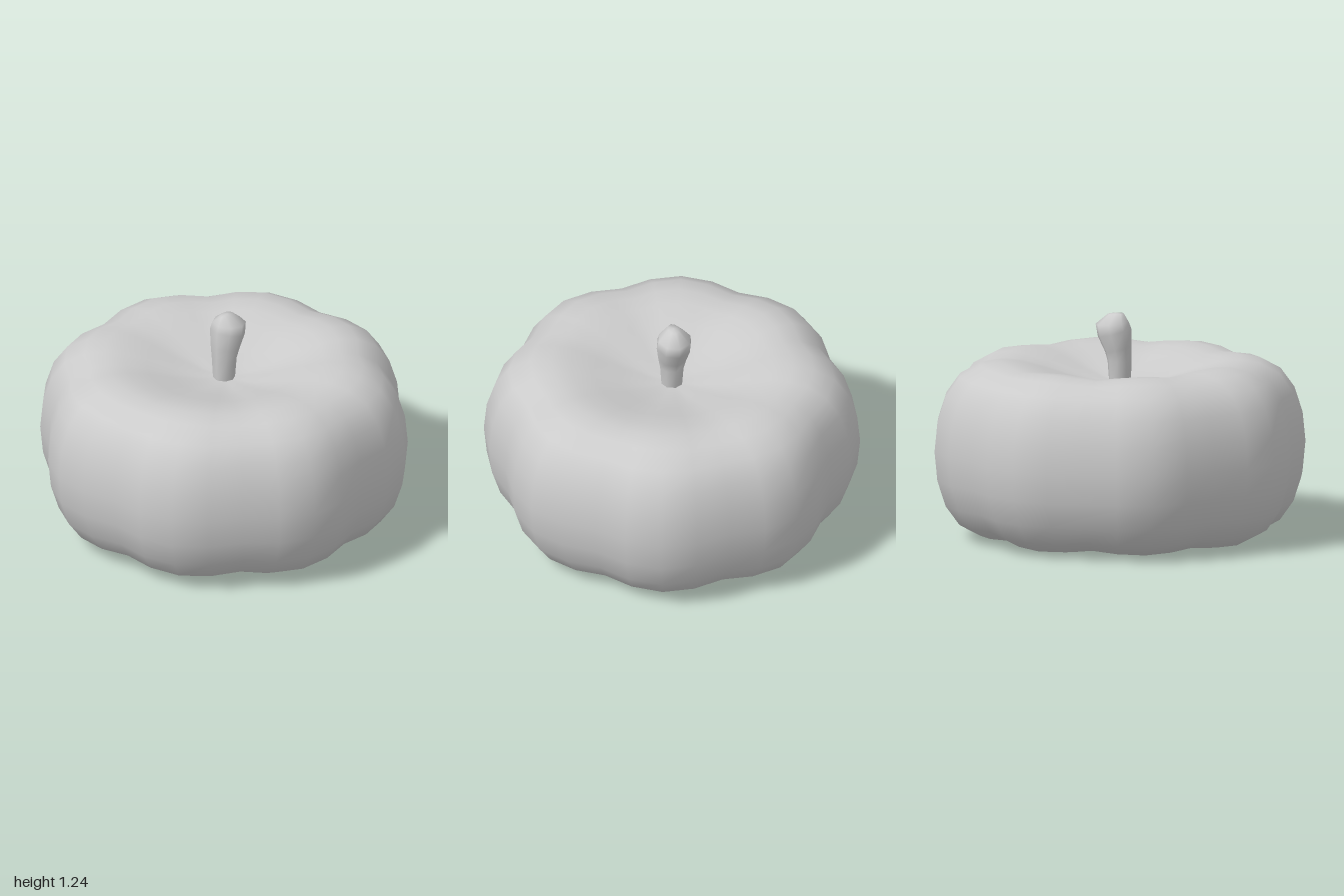
import * as THREE from 'three';

const SEGMENTS = 32, MID = 0.4975;

// Skin a stack of rings (bottom to top); a ring of one point is a pole.
function loft(name, rings) {
  const positions = [], index = [], starts = [];
  for (const ring of rings) {
    starts.push(positions.length / 3);
    for (const p of ring) positions.push(...p);
  }
  for (let i = 0; i < rings.length - 1; i++) {
    const lo = rings[i].length, hi = rings[i + 1].length, n = Math.max(lo, hi);
    for (let j = 0; j < n; j++) {
      const k = (j + 1) % n;
      const a = starts[i] + (j % lo), b = starts[i] + (k % lo);
      const c = starts[i + 1] + (j % hi), d = starts[i + 1] + (k % hi);
      if (lo > 1) index.push(a, b, d);
      if (hi > 1) index.push(a, d, c);
    }
  }
  const geometry = new THREE.BufferGeometry();
  geometry.setAttribute('position', new THREE.Float32BufferAttribute(positions, 3));
  geometry.setIndex(index);
  geometry.computeVertexNormals();
  const mesh = new THREE.Mesh(geometry, new THREE.MeshStandardMaterial({ color: 0xcccccc, side: THREE.DoubleSide }));
  mesh.name = name;
  return mesh;
}

// Ribbed body: [lobe radius, lobe height, groove radius, groove height] above mid height.
function createBody() {
  const upper = [
    [1.04, 0, 0.975, 0],
    [1.024, 0.162, 0.96, 0.16],
    [0.978, 0.305, 0.917, 0.298],
    [0.9, 0.413, 0.848, 0.4],
    [0.785, 0.476, 0.745, 0.457],
    [0.67, 0.494, 0.645, 0.473],
    [0.56, 0.484, 0.545, 0.466],
    [0.43, 0.45, 0.425, 0.438],
    [0.29, 0.405, 0.29, 0.398],
    [0.14, 0.37, 0.14, 0.368],
  ];
  const ring = ([r1, y1, r0, y0], sign) => Array.from({ length: SEGMENTS }, (_, j) => {
    const t = (j / SEGMENTS) * Math.PI * 2;
    const k = Math.pow(Math.abs(Math.sin(4 * t)), 1.2);
    const r = r0 + (r1 - r0) * k;
    return [r * Math.cos(t), MID + sign * (y0 + (y1 - y0) * k), -r * Math.sin(t)];
  });
  const pole = sign => [[0, MID + sign * 0.36, 0]];
  return loft('body', [
    pole(-1),
    ...upper.slice(1).reverse().map(row => ring(row, -1)),
    ...upper.map(row => ring(row, 1)),
    pole(1),
  ]);
}

// Bent eight-sided stem: each tilted ring is [left x, left y, right x, right y, half depth].
function createStem() {
  const spans = [
    [-0.06, 0.84, 0.06, 0.84, 0.06],
    [-0.066, 0.98, 0.07, 0.975, 0.07],
    [-0.066, 1.06, 0.084, 1.025, 0.083],
    [-0.064, 1.16, 0.125, 1.11, 0.1],
    [-0.05, 1.195, 0.138, 1.18, 0.093],
    [-0.022, 1.243, 0.068, 1.239, 0.03],
  ];
  const rings = spans.map(([lx, ly, rx, ry, depth]) => Array.from({ length: 8 }, (_, j) => {
    const t = (j / 8) * Math.PI * 2, c = Math.cos(t) / 2;
    return [(lx + rx) / 2 + (rx - lx) * c, (ly + ry) / 2 + (ry - ly) * c, -depth * Math.sin(t)];
  }));
  return loft('stem', [...rings, [[0.025, 1.245, 0]]]);
}

export function createModel() {
  const pumpkin = new THREE.Group();
  pumpkin.name = 'pumpkin';
  pumpkin.add(createBody(), createStem());
  return pumpkin;
}
